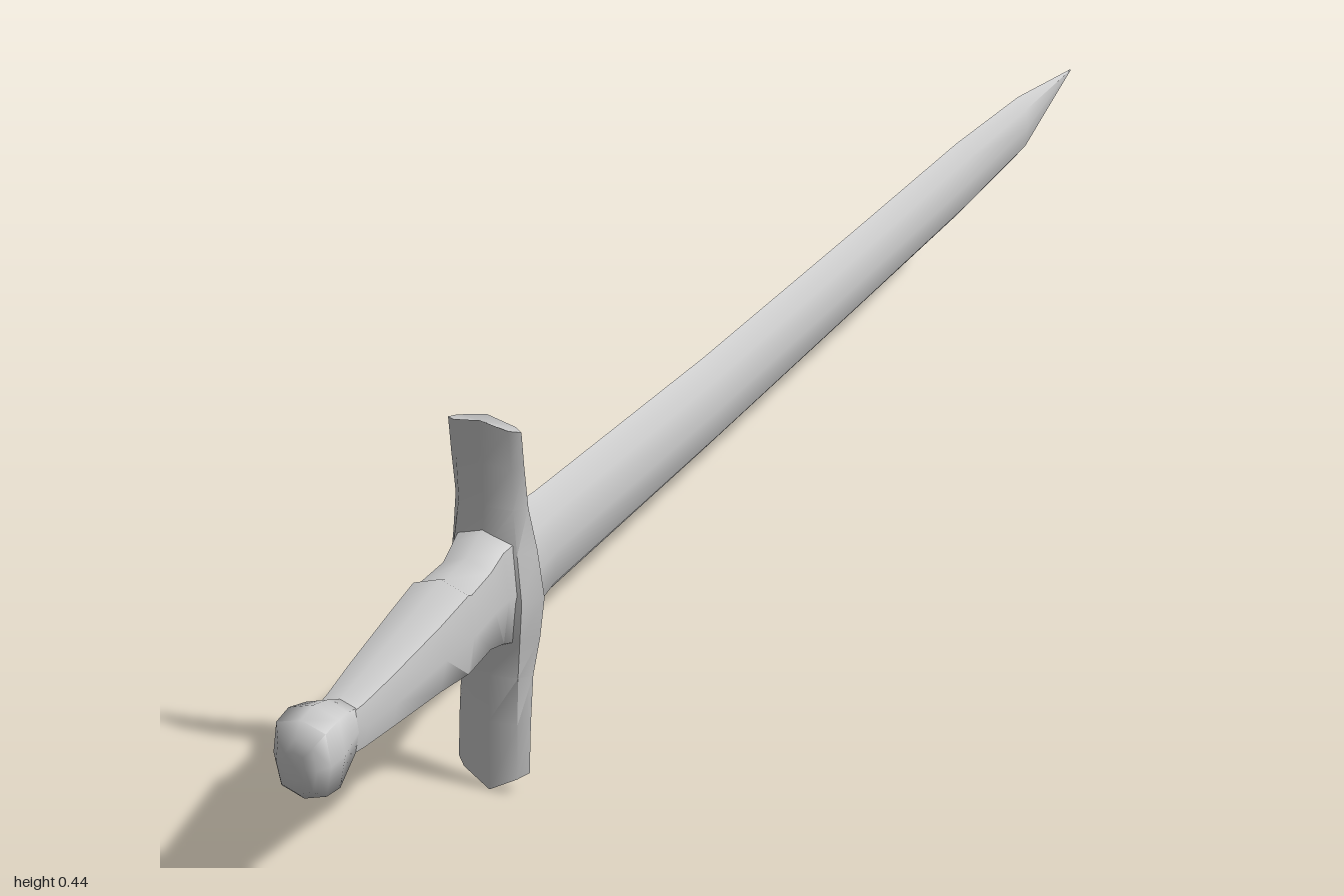
import * as THREE from 'three';
import { toCreasedNormals } from 'three/addons/utils/BufferGeometryUtils.js';

const material = new THREE.MeshStandardMaterial({ color: 0xcccccc });

// Skin a list of equal-length rings and close both ends with a fan
function loft(name, rings, crease) {
  const n = rings[0].length;
  const points = rings.flat();
  const index = [];
  for (let r = 0; r < rings.length - 1; r++) {
    for (let i = 0; i < n; i++) {
      const j = (i + 1) % n;
      const a = r * n + i, b = r * n + j, c = b + n, d = a + n;
      index.push(a, b, c, a, c, d);
    }
  }
  const last = (rings.length - 1) * n;
  for (const [ring, base, flip] of [[rings[0], 0, true], [rings.at(-1), last, false]]) {
    const centre = ring.reduce((s, p) => s.add(p), new THREE.Vector3()).divideScalar(n);
    const k = points.push(centre) - 1;
    for (let i = 0; i < n; i++) {
      const a = base + i, b = base + (i + 1) % n;
      index.push(...(flip ? [k, b, a] : [k, a, b]));
    }
  }
  const geometry = new THREE.BufferGeometry().setFromPoints(points);
  geometry.setIndex(index);
  const mesh = new THREE.Mesh(toCreasedNormals(geometry, crease), material);
  mesh.name = name;
  return mesh;
}

// Unit cross-sections, anticlockwise seen from +z
const bladeSection = [[1, 0], [0.82, 0.62], [0, 1], [-0.82, 0.62], [-1, 0], [-0.82, -0.62], [0, -1], [0.82, -0.62]];
const gripSection = [[1, 0], [0.85, 0.8], [0, 1], [-0.85, 0.8], [-1, 0], [-0.78, -0.8], [0, -1], [0.78, -0.8]];

// Rings along z from [z, half width, bottom, top]
const ringsAlongZ = (section, stations) => stations.map(([z, w, low, high]) =>
  section.map(([x, y]) => new THREE.Vector3(x * w, (low + high) / 2 + y * (high - low) / 2, z)));

export function createModel() {
  const sword = new THREE.Group();
  sword.name = 'sword';

  // Tapering blade, from the point to its flared root
  sword.add(loft('blade', ringsAlongZ(bladeSection, [
    [-1, 0.001, 0.239, 0.241],
    [-0.82, 0.015, 0.186, 0.268],
    [-0.62, 0.019, 0.178, 0.279],
    [-0.3, 0.021, 0.176, 0.283],
    [0.1, 0.023, 0.174, 0.29],
    [0.5, 0.025, 0.175, 0.307],
    [0.55, 0.028, 0.165, 0.312],
    [0.59, 0.034, 0.155, 0.322],
  ]), 0.75));

  // Crossguard: stations [y, half width, back z, front z, point at the end]
  const guardSection = [[1, 0], [0.75, 0.7], [0, 1], [0, -1], [0.75, -0.7]];
  const guardStations = [
    [0.027, 0.043, 0.599, 0.616, -0.025],
    [0.085, 0.043, 0.593, 0.613, 0],
    [0.14, 0.043, 0.583, 0.611, 0],
    [0.185, 0.05, 0.574, 0.618, 0],
    [0.235, 0.057, 0.574, 0.622, 0],
    [0.29, 0.05, 0.576, 0.619, 0],
    [0.34, 0.043, 0.586, 0.612, 0],
    [0.39, 0.043, 0.595, 0.613, 0],
    [0.432, 0.043, 0.6, 0.616, 0.01],
  ];
  sword.add(loft('crossguard', guardStations.map(([y, w, back, front, point]) => {
    const t = front - back;
    // Wide back edge, narrower crowned front
    return [[front, 0], [front - 0.2 * t, 0.75], [back + 0.3 * t, 1], [back, 0.8], [back, 0],
      [back, -0.8], [back + 0.3 * t, -1], [front - 0.2 * t, -0.75]]
      .map(([z, x]) => new THREE.Vector3(x * w, y + point * (1 - Math.abs(x)), z));
  }), 0.75));

  // Swelling grip with a collar that flares into the guard
  sword.add(loft('grip', ringsAlongZ(gripSection, [
    [0.595, 0.042, 0.165, 0.32],
    [0.625, 0.035, 0.177, 0.312],
    [0.65, 0.033, 0.185, 0.298],
    [0.695, 0.036, 0.183, 0.295],
    [0.705, 0.038, 0.184, 0.3],
    [0.76, 0.036, 0.193, 0.289],
    [0.85, 0.03, 0.2, 0.274],
    [0.9, 0.025, 0.203, 0.266],
    [0.935, 0.021, 0.207, 0.264],
  ]), 1));

  // Rounded pommel
  sword.add(loft('pommel', ringsAlongZ(gripSection, [
    [0.91, 0.022, 0.205, 0.265],
    [0.935, 0.028, 0.196, 0.277],
    [0.96, 0.034, 0.187, 0.284],
    [0.985, 0.033, 0.191, 0.28],
    [0.997, 0.023, 0.203, 0.265],
    [1, 0.012, 0.218, 0.251],
  ]), 1.2));

  return sword;
}
